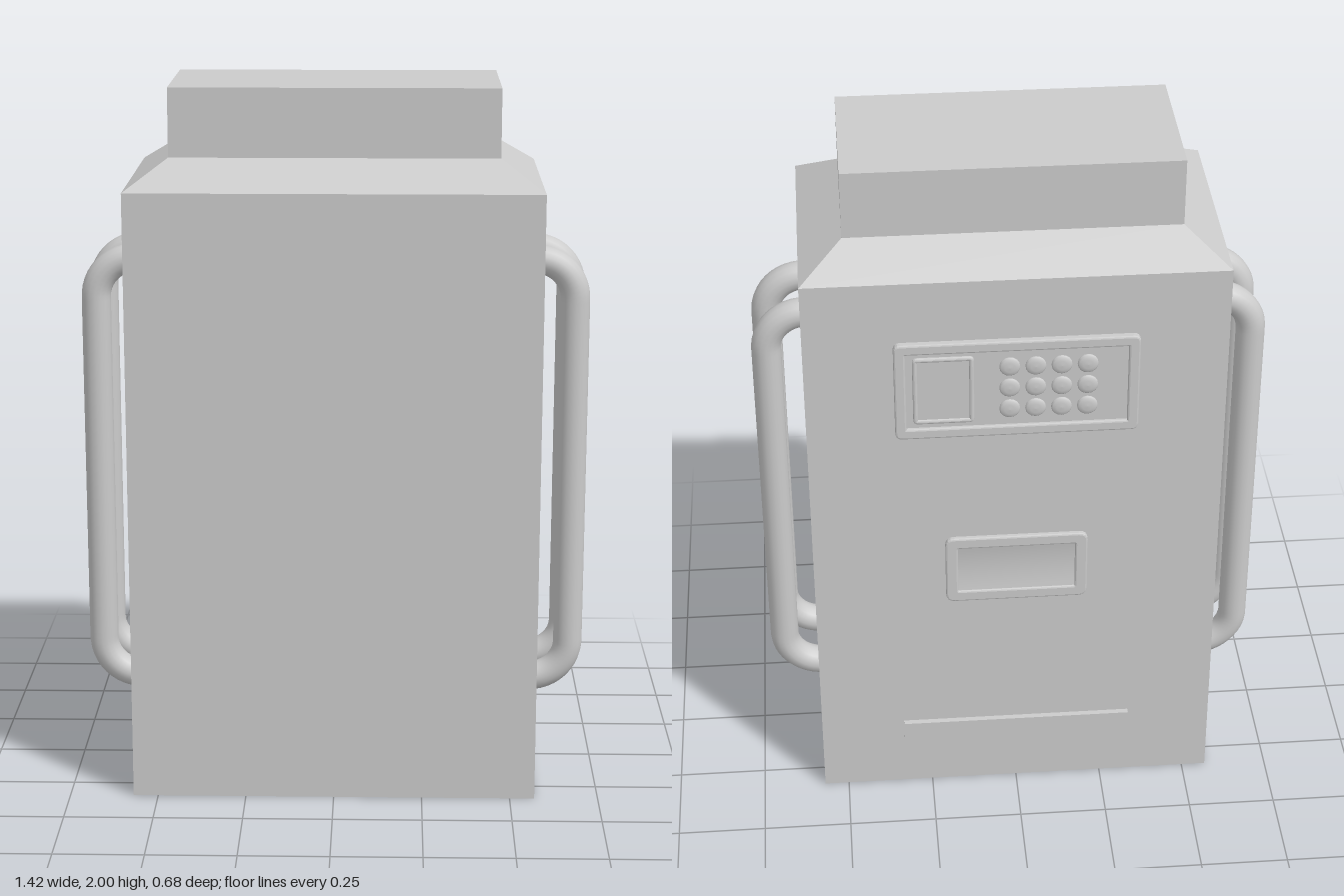
import * as THREE from 'three';

const material = new THREE.MeshStandardMaterial({ color: 0xcccccc });

function add(parent, geometry, name, x = 0, y = 0, z = 0) {
  const mesh = new THREE.Mesh(geometry, material);
  mesh.name = name;
  mesh.position.set(x, y, z);
  parent.add(mesh);
  return mesh;
}

// Rectangular rings [y, halfWidth, back z, front z] joined into a closed, hard-edged shell
function ringShell(rings) {
  const corners = rings.map(([y, w, b, f]) => [[-w, y, f], [w, y, f], [w, y, b], [-w, y, b]]);
  const positions = [];
  const quad = (a, b, c, d) => positions.push(...a, ...b, ...c, ...a, ...c, ...d);
  for (let i = 0; i < corners.length - 1; i++) {
    for (let k = 0; k < 4; k++) {
      const n = (k + 1) % 4;
      quad(corners[i][k], corners[i][n], corners[i + 1][n], corners[i + 1][k]);
    }
  }
  quad(...corners[corners.length - 1]);
  quad(...[...corners[0]].reverse());
  const geometry = new THREE.BufferGeometry();
  geometry.setAttribute('position', new THREE.Float32BufferAttribute(positions, 3));
  geometry.computeVertexNormals();
  return geometry;
}

function roundedRect(target, w, h, r) {
  const x = w / 2, y = h / 2;
  target.moveTo(-x + r, -y);
  target.lineTo(x - r, -y).quadraticCurveTo(x, -y, x, -y + r);
  target.lineTo(x, y - r).quadraticCurveTo(x, y, x - r, y);
  target.lineTo(-x + r, y).quadraticCurveTo(-x, y, -x, y - r);
  target.lineTo(-x, -y + r).quadraticCurveTo(-x, -y, -x + r, -y);
  return target;
}

// Raised rim with a softened outer edge, standing on z = 0
function rim(w, h, border, depth, radius) {
  const bevel = 0.005;
  const shape = roundedRect(new THREE.Shape(), w - 2 * bevel, h - 2 * bevel, radius);
  shape.holes.push(roundedRect(new THREE.Path(), w - 2 * border, h - 2 * border, radius * 0.4));
  return new THREE.ExtrudeGeometry(shape, {
    depth: depth - bevel, bevelThickness: bevel, bevelSize: bevel, bevelSegments: 2, curveSegments: 4,
  });
}

// Side handle: straight bar with a quarter bend into the body at each end
function handleGeometry(side) {
  const path = new THREE.CurvePath();
  const v = (x, y) => new THREE.Vector3(side * x, y, 0);
  const bend = 0.11, bar = 0.67, low = 0.288, high = 1.512, k = bend * 0.448;
  path.add(new THREE.LineCurve3(v(0.54, low), v(bar - bend, low)));
  path.add(new THREE.CubicBezierCurve3(v(bar - bend, low), v(bar - k, low), v(bar, low + k), v(bar, low + bend)));
  path.add(new THREE.LineCurve3(v(bar, low + bend), v(bar, high - bend)));
  path.add(new THREE.CubicBezierCurve3(v(bar, high - bend), v(bar, high - k), v(bar - k, high), v(bar - bend, high)));
  path.add(new THREE.LineCurve3(v(bar - bend, high), v(0.54, high)));
  return new THREE.TubeGeometry(path, 90, 0.041, 16, false);
}

export function createModel() {
  const model = new THREE.Group();
  model.name = 'backpackUnit';

  // Body with sloped shoulders and a square neck
  add(model, ringShell([
    [0, 0.57, -0.322, 0.34],
    [1.73, 0.57, -0.322, 0.34],
    [1.81, 0.452, -0.208, 0.225],
    [2, 0.452, -0.208, 0.225],
  ]), 'body');

  // Two handles on each side
  for (const side of [1, -1]) {
    for (const z of [0.11, -0.085]) {
      add(model, handleGeometry(side), side > 0 ? 'leftHandle' : 'rightHandle', 0, 0, z);
    }
  }

  // Details on the back, built facing outward
  const back = new THREE.Group();
  back.name = 'backDetails';
  back.position.z = -0.322;
  back.rotation.y = Math.PI;
  model.add(back);

  // Control panel with a display and a 4 x 3 keypad
  const panel = new THREE.Group();
  panel.name = 'controlPanel';
  panel.position.y = 1.4;
  back.add(panel);
  add(panel, rim(0.66, 0.3, 0.026, 0.019, 0.014), 'panelRim');
  add(panel, new THREE.BoxGeometry(0.62, 0.26, 0.008), 'panelPlate', 0, 0, 0.004);
  add(panel, rim(0.165, 0.21, 0.008, 0.008, 0.008), 'displayRim', -0.198, 0, 0.008);
  add(panel, new THREE.BoxGeometry(0.155, 0.2, 0.004), 'display', -0.198, 0, 0.009);
  const keyProfile = [[0.028, 0], [0.028, 0.004], [0.024, 0.008], [0.014, 0.01], [0, 0.011]]
    .map(([r, y]) => new THREE.Vector2(r, y));
  const key = new THREE.LatheGeometry(keyProfile, 16).rotateX(Math.PI / 2);
  for (let column = 0; column < 4; column++) {
    for (let row = -1; row <= 1; row++) {
      add(panel, key, 'key', -0.02 + column * 0.07, row * 0.067, 0.008);
    }
  }

  // Small window with a slightly dished pane
  add(back, rim(0.4, 0.22, 0.03, 0.014, 0.02), 'windowRim', 0, 0.79, 0);
  const pane = new THREE.PlaneGeometry(0.345, 0.165, 1, 8);
  const p = pane.attributes.position;
  for (let i = 0; i < p.count; i++) p.setZ(i, 0.001 + 0.008 * (p.getY(i) / 0.0825) ** 2);
  pane.computeVertexNormals();
  add(back, pane, 'windowPane', 0, 0.79, 0);

  // Low ledge
  add(back, new THREE.BoxGeometry(0.66, 0.058, 0.022), 'ledge', 0, 0.203, 0.005);

  return model;
}
